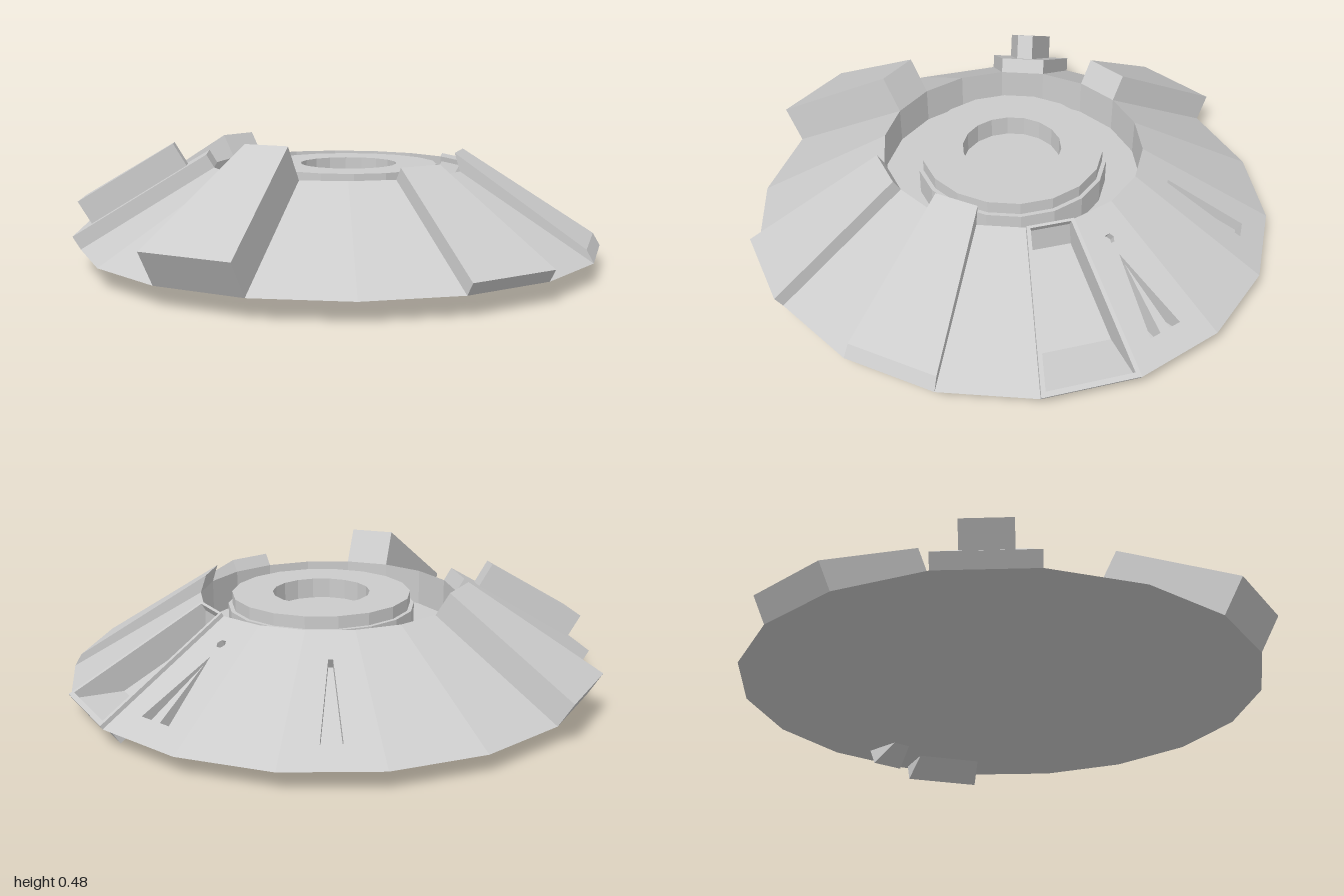
import * as THREE from 'three';

const SIDES = 18, STEP = (Math.PI * 2) / SIDES;
const R_OUT = 0.96, R_IN = 0.475, Y_LOW = 0.07, Y_TOP = 0.355;
const CX = 0.033, CZ = 0.016;
const A_OUT = R_OUT * Math.cos(STEP / 2), A_IN = R_IN * Math.cos(STEP / 2);
const RUN = A_OUT - A_IN, RISE = Y_TOP - Y_LOW, SLOPE = Math.hypot(RUN, RISE);
const W_LOW = R_OUT * Math.sin(STEP / 2), W_TOP = R_IN * Math.sin(STEP / 2);

const mat = new THREE.MeshStandardMaterial({ color: 0xcccccc, flatShading: true, side: THREE.DoubleSide });

function mesh(name, geometry, parent, x = 0, y = 0, z = 0) {
  const m = new THREE.Mesh(geometry, mat);
  m.name = name;
  m.position.set(x, y, z);
  parent.add(m);
  return m;
}

const toShape = (pts) => new THREE.Shape(pts.map(([x, y]) => new THREE.Vector2(x, y)));
const extrude = (pts, depth) => new THREE.ExtrudeGeometry(toShape(pts), { depth, bevelEnabled: false });

// distance up the slope for a given distance from the axis
const up = (r) => ((A_OUT - r) * SLOPE) / RUN;
// trapezoid on the slope: half widths and radii of its lower and upper edge
const trapezoid = (w0, r0, w1, r1) => [[-w0, up(r0)], [w0, up(r0)], [w1, up(r1)], [-w1, up(r1)]];
const FULL = trapezoid(W_LOW, A_OUT, W_TOP, A_IN);

// a frame turned to one sector; its inner frame lies in the sloping face, +z out
function sector(body, k) {
  const spin = new THREE.Group();
  spin.name = 'sector' + k;
  spin.rotation.y = (k + 0.5) * STEP;
  const face = new THREE.Group();
  face.name = 'slope';
  face.position.set(0, Y_LOW, A_OUT);
  face.rotation.x = -Math.atan2(RUN, RISE);
  spin.add(face);
  body.add(spin);
  return { spin, face };
}

// walls and floor of a pocket sunk below the sloping face
function pocket(name, pts, top, depth, parent) {
  const pos = [];
  pts.forEach(([x, y], i) => {
    const [u, v] = pts[(i + 1) % pts.length];
    pos.push(x, y, top, x, y, -depth, u, v, -depth, x, y, top, u, v, -depth, u, v, top);
  });
  const walls = new THREE.BufferGeometry();
  walls.setAttribute('position', new THREE.Float32BufferAttribute(pos, 3));
  walls.computeVertexNormals();
  mesh(name + 'Walls', walls, parent);
  mesh(name + 'Floor', new THREE.ShapeGeometry(toShape(pts)), parent, 0, 0, -depth);
}

// sloping face with pockets cut through it
function cutPanel(name, parent, pockets, lift = 0) {
  const shape = toShape(FULL);
  for (const p of pockets) shape.holes.push(new THREE.Path(p.pts.map(([x, y]) => new THREE.Vector2(x, y))));
  const geo = lift
    ? new THREE.ExtrudeGeometry(shape, { depth: lift, bevelEnabled: false })
    : new THREE.ShapeGeometry(shape);
  mesh(name, geo, parent);
  for (const p of pockets) pocket(p.name, p.pts, lift, p.depth, parent);
}

export function createModel() {
  const model = new THREE.Group();
  model.name = 'ringedDisc';
  const body = new THREE.Group();
  body.name = 'body';
  body.position.set(CX, 0, CZ);
  model.add(body);

  // thickness of the raised plates, by sector
  const raised = { 9: 0.1, 11: 0.055, 14: 0.14, 17: 0.05 };

  for (let k = 0; k < SIDES; k++) {
    const { spin, face } = sector(body, k);
    if (k === 3) {
      // open tray with a thin frame
      cutPanel('trayFrame', face, [
        { name: 'tray', pts: trapezoid(W_LOW - 0.018, A_OUT - 0.015, W_TOP - 0.012, A_IN + 0.008), depth: 0.092 },
      ], 0.015);
    } else if (k === 4) {
      // triangular vent with a centre fin, and a small hexagonal hole
      const hex = Array.from({ length: 6 }, (_, i) => [
        0.018 * Math.cos((i * Math.PI) / 3), up(0.565) + 0.018 * Math.sin((i * Math.PI) / 3)]);
      cutPanel('ventPanel', face, [
        { name: 'vent', pts: [[-0.064, up(0.867)], [0.064, up(0.867)], [0, up(0.617)]], depth: 0.13 },
        { name: 'hexHole', pts: hex, depth: 0.03 },
      ]);
      mesh('ventFin', extrude([[-0.02, up(0.867)], [0.02, up(0.867)], [0, up(0.65)]], 0.125), face, 0, 0, -0.127);
    } else if (k === 6) {
      // long tapered slit
      cutPanel('slitPanel', face, [
        { name: 'slit', pts: trapezoid(0.036, 0.86, 0.008, 0.576), depth: 0.04 },
      ]);
    } else {
      mesh('slopePanel', new THREE.ShapeGeometry(toShape(FULL)), face);
    }

    if (raised[k]) mesh('raisedPlate', extrude(FULL, raised[k]), face);
    if (k === 11) {
      // tapered bar on top of its plate
      mesh('taperedBar', extrude(trapezoid(0.085, 0.89, 0.03, 0.545), 0.15), face);
    }
    if (k === 1) {
      // wedge plate, thickest at the rim
      const geo = extrude([[A_OUT, Y_LOW], [0.92, 0.115], [0.447, 0.42], [A_IN, Y_TOP]], 1);
      const p = geo.attributes.position;
      for (let i = 0; i < p.count; i++) {
        const r = p.getX(i);
        p.setXYZ(i, (1 - 2 * p.getZ(i)) * r * Math.tan(STEP / 2), p.getY(i), r);
      }
      geo.computeVertexNormals();
      mesh('wedgePlate', geo, spin);
    }
  }

  // underside, well wall and well floor
  const disc = (r) => new THREE.CircleGeometry(r, SIDES, Math.PI / 2).rotateX(Math.PI / 2);
  mesh('underside', disc(R_OUT), body, 0, Y_LOW, 0);
  const wellFloor = 0.22;
  mesh('wellWall', new THREE.CylinderGeometry(R_IN, R_IN, Y_TOP - wellFloor, SIDES, 1, true), body,
    0, (Y_TOP + wellFloor) / 2, 0);
  mesh('wellFloor', disc(R_IN).rotateX(Math.PI), body, 0, wellFloor, 0);

  // stepped hub with a round hollow
  const hub = [[0.345, wellFloor], [0.345, 0.315], [0.33, 0.315], [0.33, 0.36], [0.18, 0.36], [0.18, 0.285], [0, 0.285]]
    .map(([x, y]) => new THREE.Vector2(x, y));
  mesh('hub', new THREE.LatheGeometry(hub, SIDES), model, 0.055, 0, 0.035);

  return model;
}
